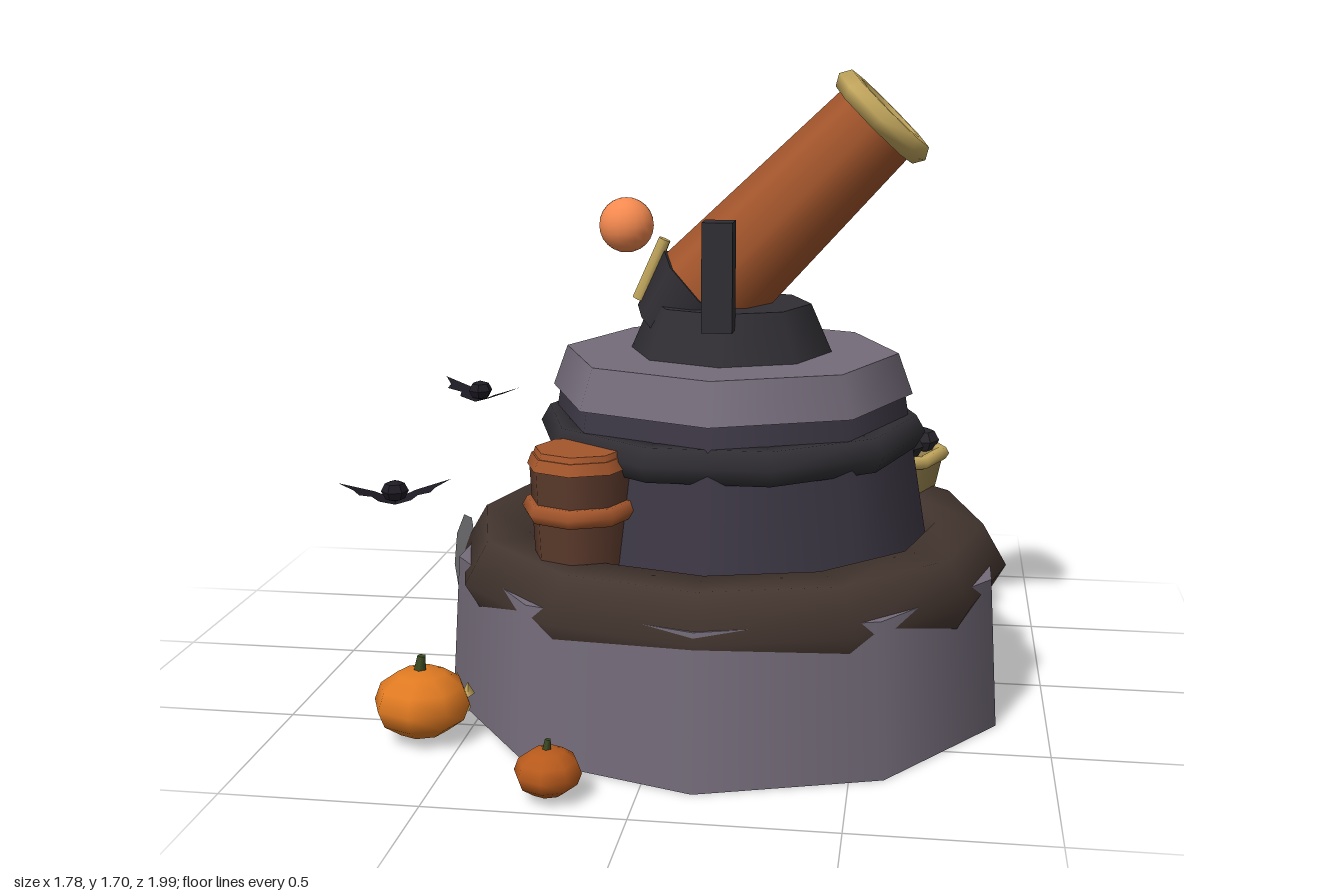
import * as THREE from 'three';

const mat = (color, extra = {}) => new THREE.MeshStandardMaterial({ color, ...extra });
const M = {
  stone: mat(0x746c7a), tower: mat(0x3d3845), iron: mat(0x302e33), earth: mat(0x43352f),
  copper: mat(0xa4562c), wood: mat(0x5c3a2c), gold: mat(0xc4a85e), basket: mat(0x94804c),
  ember: mat(0xf58a50), coal: mat(0x28262c, { flatShading: true }),
  pumpkin: mat(0xe07a22), darkPumpkin: mat(0xb85a1c), stem: mat(0x3c4a22),
  bat: mat(0x1e1b24, { flatShading: true, side: THREE.DoubleSide }),
  white: mat(0xf0f2f0), sheet: mat(0xc6cac8), black: mat(0x101010),
  wax: mat(0xd0c4b2), web: mat(0xa8a8ac, { side: THREE.DoubleSide }),
};

function add(parent, name, geo, material, x = 0, y = 0, z = 0) {
  const m = new THREE.Mesh(geo, material);
  m.name = name;
  m.position.set(x, y, z);
  parent.add(m);
  return m;
}
function group(parent, name, x, y, z) {
  const g = new THREE.Group();
  g.name = name;
  g.position.set(x, y, z);
  parent.add(g);
  return g;
}
// cylinder between two heights
function drum(parent, name, material, rTop, rBottom, y0, y1, sides = 8) {
  return add(parent, name, new THREE.CylinderGeometry(rTop, rBottom, y1 - y0, sides), material, 0, (y0 + y1) / 2, 0);
}
// horizontal ring
function ring(parent, name, material, R, t, y, sides, tubeSides = 6) {
  return add(parent, name, new THREE.TorusGeometry(R, t, tubeSides, sides).rotateX(Math.PI / 2), material, 0, y, 0);
}

function buildTower(root) {
  const g = group(root, 'tower', 0.13, 0, 0.07);
  drum(g, 'base', M.stone, 0.75, 0.775, 0, 0.4, 10);
  ring(g, 'earthRing', M.earth, 0.63, 0.13, 0.37, 12);
  drum(g, 'towerWall', M.tower, 0.475, 0.547, 0.4, 0.84);
  ring(g, 'ironRing', M.iron, 0.48, 0.052, 0.737, 10);
  drum(g, 'platform', M.stone, 0.455, 0.495, 0.84, 0.95);
  drum(g, 'turretBase', M.iron, 0.218, 0.275, 0.95, 1.08);
  for (const s of [-1, 1])
    add(g, 'cannonPost', new THREE.BoxGeometry(0.08, 0.285, 0.075), M.iron, -0.005, 1.182, s * 0.24);
}

function buildCannon(root) {
  const g = group(root, 'cannon', 0.125, 1.17, 0.07);
  g.rotation.z = -0.775;
  drum(g, 'cannonBarrel', M.copper, 0.124, 0.152, -0.1, 0.575);
  drum(g, 'breech', M.iron, 0.163, 0.108, -0.25, -0.09);
  ring(g, 'muzzleRing', M.gold, 0.126, 0.035, 0.575, 8);
  // fuse with glowing ball
  const fuse = add(root, 'fuse', new THREE.CylinderGeometry(0.018, 0.022, 0.18, 6), M.gold, -0.088, 1.165, 0.065);
  fuse.rotation.z = -0.4;
  add(root, 'emberBall', new THREE.SphereGeometry(0.075, 18, 12), M.ember, -0.158, 1.285, 0.065);
}

function buildKeg(root, z) {
  const g = group(root, 'keg', -0.21, 0, z);
  drum(g, 'kegBody', M.wood, 0.132, 0.115, 0.4, 0.72);
  drum(g, 'kegRim', M.copper, 0.125, 0.137, 0.715, 0.745);
  drum(g, 'kegLid', M.copper, 0.115, 0.122, 0.74, 0.76);
  ring(g, 'kegHoop', M.copper, 0.125, 0.027, 0.605, 8);
}

function buildBasket(root) {
  const g = group(root, 'coalBasket', 0.53, 0, -0.34);
  drum(g, 'basketBody', M.basket, 0.185, 0.148, 0.41, 0.58);
  ring(g, 'basketRim', M.gold, 0.182, 0.02, 0.58, 8);
  const lumps = [[-0.09, 0.6, -0.065], [0.02, 0.61, -0.09], [0.12, 0.61, -0.035], [-0.02, 0.63, 0.01],
    [0.075, 0.61, 0.06], [-0.06, 0.6, 0.04], [0.03, 0.66, -0.02]];
  lumps.forEach(([x, y, z]) => {
    add(g, 'coalLump', new THREE.SphereGeometry(0.052, 6, 4), M.coal, x, y, z).scale.y = 0.75;
  });
}

function buildPumpkin(root, x, y, z, r, material) {
  const g = group(root, 'pumpkin', x, y, z);
  add(g, 'pumpkinBody', new THREE.SphereGeometry(r, 8, 6), material).scale.y = 0.71;
  const stem = add(g, 'pumpkinStem', new THREE.CylinderGeometry(r * 0.09, r * 0.14, r * 0.36, 5), M.stem, 0, r * 0.8, 0);
  stem.rotation.z = -0.12;
  return g;
}

function buildBat(root, x, y, z, turn) {
  const g = group(root, 'bat', x, y, z);
  g.rotation.y = turn;
  add(g, 'batBody', new THREE.SphereGeometry(0.037, 6, 4), M.bat).scale.y = 0.8;
  // scalloped wing, raised towards its tip
  const outline = [[0, -0.035], [0.06, -0.045], [0.16, -0.01], [0.115, 0.015], [0.1, 0.045], [0.065, 0.02], [0.045, 0.045], [0, 0.025]];
  const shape = new THREE.Shape(outline.map(([a, b]) => new THREE.Vector2(a, b)));
  for (const s of [1, -1]) {
    const wing = add(g, 'batWing', new THREE.ShapeGeometry(shape).rotateX(Math.PI / 2).rotateZ(0.36), M.bat, 0, -0.032, 0);
    wing.scale.x = s;
  }
}

function buildGhost(root) {
  const g = group(root, 'ghost', -0.02, 0, -0.885);
  drum(g, 'ghostSheet', M.sheet, 0.115, 0, 0.395, 0.645);
  add(g, 'ghostHead', new THREE.SphereGeometry(0.077, 10, 8), M.white, 0, 0.668, 0);
  for (const s of [-1, 1])
    add(g, 'ghostEye', new THREE.SphereGeometry(0.016, 8, 6), M.black, 0.069, 0.68, s * 0.033);
}

function buildCandle(root, x, z, h) {
  const g = group(root, 'candle', x, 0, z);
  drum(g, 'candleWax', M.wax, 0.019, 0.022, 0, h, 5);
  drum(g, 'candleFlame', M.gold, 0, 0.012, h, h + 0.035, 5);
}

export function createModel() {
  const root = new THREE.Group();
  root.name = 'cannonTower';
  buildTower(root);
  buildCannon(root);
  for (const s of [-1, 1]) buildKeg(root, 0.055 + s * 0.425);
  buildBasket(root);

  // carved pumpkin with small face pieces, and a plain one
  const carved = buildPumpkin(root, -0.608, 0.1, 0.6, 0.127, M.pumpkin);
  for (const [a, y] of [[0.95, 0.03], [0.25, 0.03], [0.6, -0.025]]) {
    const bit = add(carved, 'carvedFace', new THREE.ConeGeometry(0.02, 0.035, 3), M.gold,
      Math.cos(a) * 0.118, y, -Math.sin(a) * 0.118);
    bit.rotation.y = a;
  }
  buildPumpkin(root, -0.207, 0.068, 0.91, 0.083, M.darkPumpkin);

  buildBat(root, -0.69, 0.725, -0.355, -0.48);
  buildBat(root, -0.745, 0.59, 0.345, 0.29);
  buildGhost(root);
  buildCandle(root, -0.565, -0.515, 0.1);
  buildCandle(root, -0.51, -0.58, 0.18);
  buildCandle(root, -0.44, -0.53, 0.14);

  // thin web on the right side of the base
  add(root, 'web', new THREE.CircleGeometry(0.11, 8).rotateY(-Math.PI / 2), M.web, -0.615, 0.36, 0.13);
  return root;
}
